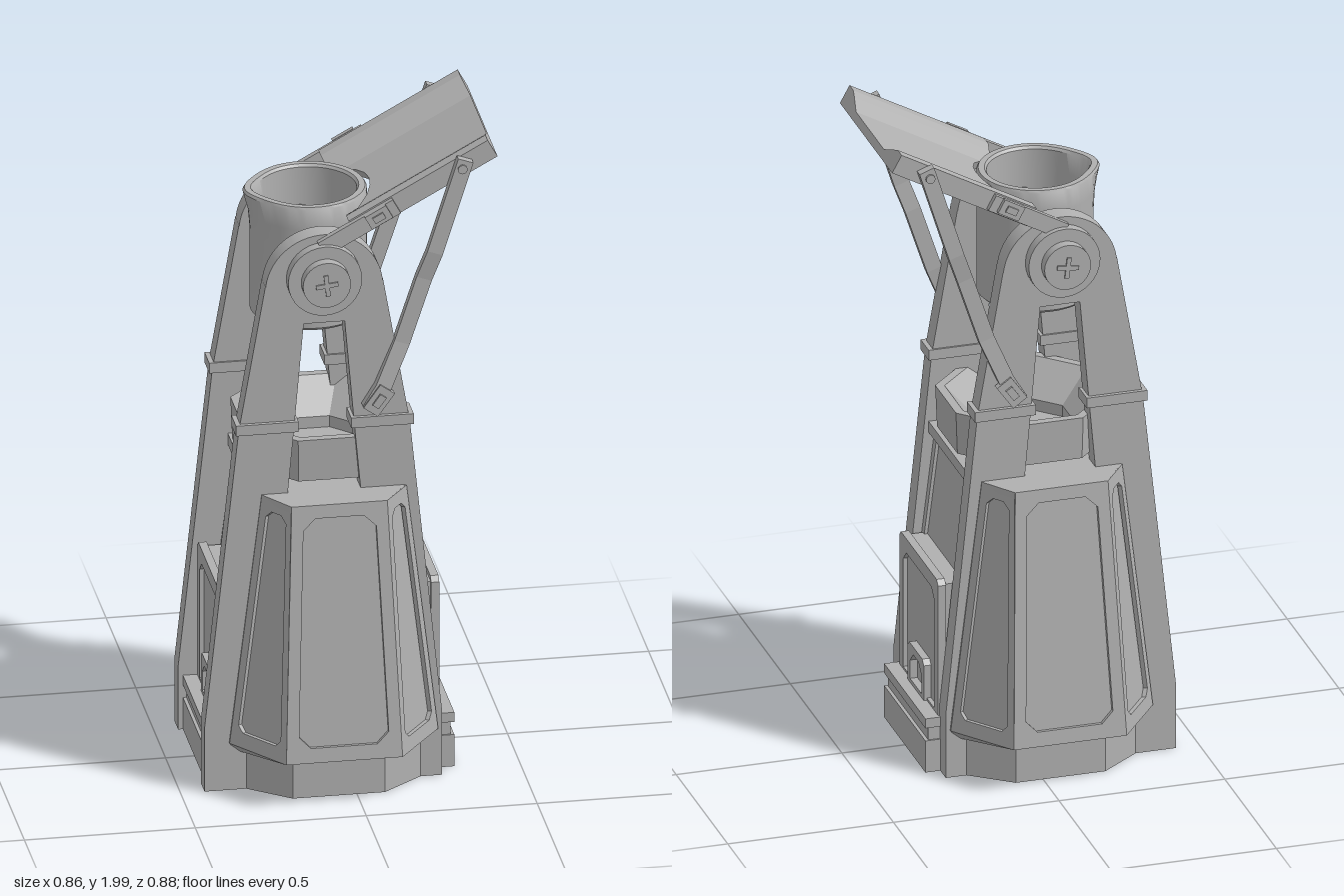
import * as THREE from 'three';
import { toCreasedNormals } from 'three/addons/utils/BufferGeometryUtils.js';

const V = (x, y, z) => new THREE.Vector3(x, y, z);
const BODY_X = -0.053, PIVOT_X = -0.083, FRAME_X = -0.08;

// Skin a stack of equal-length rings, with optional strip caps
function loft(rings, capStart = true, capEnd = true) {
  const pos = [], n = rings[0].length;
  const quad = (a, b, c, d) => [a, b, c, a, c, d].forEach(p => pos.push(p.x, p.y, p.z));
  for (let r = 0; r < rings.length - 1; r++) {
    const lo = rings[r], hi = rings[r + 1];
    for (let i = 0; i < n; i++) quad(lo[i], lo[(i + 1) % n], hi[(i + 1) % n], hi[i]);
  }
  for (let i = 0; i < n / 2 - 1; i++) {
    const s = rings[0], e = rings[rings.length - 1];
    if (capStart) quad(s[n - 1 - i], s[n - 2 - i], s[i + 1], s[i]);
    if (capEnd) quad(e[i], e[i + 1], e[n - 2 - i], e[n - 1 - i]);
  }
  const g = new THREE.BufferGeometry();
  g.setAttribute('position', new THREE.Float32BufferAttribute(pos, 3));
  g.computeVertexNormals();
  return g;
}

// Octagon ring: x reach a (half-width b in z), z reach c (half-width d in x)
const oct = (y, a, b, c, d, k = 1) =>
  [[a, b], [a, -b], [d, -c], [-d, -c], [-a, -b], [-a, b], [-d, c], [d, c]]
    .map(([x, z]) => V(BODY_X + x * k, y, z * k));

// Raised border with a chamfered opening, laid on a four-cornered face
function panelFrame(p0, p1, p3, p2, m, ch, depth) {
  const X = p1.clone().sub(p0).normalize();
  const N = X.clone().cross(p3.clone().sub(p0)).normalize();
  const Y = N.clone().cross(X);
  const flat = p => { const d = p.clone().sub(p0); return [d.dot(X), d.dot(Y)]; };
  const [w] = flat(p1), [xl, h] = flat(p3), [xr] = flat(p2);
  const at = (y, side, extra) => side < 0
    ? new THREE.Vector2(xl * y / h + m + extra, y)
    : new THREE.Vector2(w + (xr - w) * y / h - m - extra, y);
  const shape = new THREE.Shape([[0, 0], [w, 0], [xr, h], [xl, h]].map(q => new THREE.Vector2(...q)));
  const b = 0.045, t = h - 0.04;
  shape.holes.push(new THREE.Path([at(b, -1, ch), at(b + ch, -1, 0), at(t - ch, -1, 0), at(t, -1, ch),
    at(t, 1, ch), at(t - ch, 1, 0), at(b + ch, 1, 0), at(b, 1, ch)]));
  const g = new THREE.ExtrudeGeometry(shape, { depth, bevelEnabled: false });
  const o = p0.clone().addScaledVector(N, -depth);
  return g.applyMatrix4(new THREE.Matrix4().makeBasis(X, Y, N).setPosition(o));
}

export function createModel() {
  const root = new THREE.Group();
  root.name = 'tippingTower';
  const grey = new THREE.MeshStandardMaterial({ color: 0xb0b0b0, side: THREE.DoubleSide });
  grey.name = 'plain grey';
  const add = (name, geo, parent = root) => {
    const m = new THREE.Mesh(geo, grey);
    m.name = name;
    parent.add(m);
    return m;
  };
  // Box from its minimum and maximum corners
  const box = (name, x0, x1, y0, y1, z0, z1, parent) => {
    const g = new THREE.BoxGeometry(Math.abs(x1 - x0), y1 - y0, z1 - z0);
    g.translate((x0 + x1) / 2, (y0 + y1) / 2, (z0 + z1) / 2);
    return add(name, g, parent);
  };
  // Disc or pin lying along z
  const disc = (name, r, x, y, z0, z1, parent, sides = 32) => {
    const g = new THREE.CylinderGeometry(r, r, z1 - z0, sides).rotateX(Math.PI / 2);
    return add(name, g.translate(x, y, (z0 + z1) / 2), parent);
  };
  // Box turned about z
  const tilted = (name, w, h, d, x, y, z, angle, parent) => {
    const g = new THREE.BoxGeometry(w, h, d).rotateZ(angle);
    return add(name, g.translate(x, y, z), parent);
  };

  // Hollow plinth and tapering body
  const low = oct(0.15, 0.305, 0.26, 0.44, 0.17), high = oct(0.925, 0.21, 0.255, 0.355, 0.14);
  const foot = [0.285, 0.23, 0.345, 0.135];
  add('plinth', loft([oct(0, ...foot), oct(0.115, ...foot), low], false, false));
  add('body', loft([oct(0.15, 0.305, 0.26, 0.44, 0.17, 0.965),
    oct(0.915, 0.21, 0.255, 0.355, 0.14, 0.96)], false, true));
  add('roof', loft([oct(0.905, 0.21, 0.255, 0.355, 0.14), high]));
  for (let i = 0; i < 8; i++) {
    const j = (i + 1) % 8;
    const [m, ch] = i % 4 === 0 ? [0.09, 0.02] : i % 2 ? [0.025, 0.02] : [0.036, 0.035];
    add('panelFrame', panelFrame(low[i], low[j], high[i], high[j], m, ch, 0.013));
  }

  // Octagonal basin with a sloping inside
  const basin = (y, r) => oct(y, r, r * 0.42, r, r * 0.42);
  add('basin', loft([basin(0.92, 0.17), basin(0.945, 0.17), basin(0.95, 0.235), basin(1.08, 0.24),
    basin(1.08, 0.215), basin(0.985, 0.13), basin(0.95, 0.13)]));

  // Door, handle, step and ledge on both ends
  for (const s of [-1, 1]) {
    const end = new THREE.Group();
    end.name = s > 0 ? 'leftEnd' : 'rightEnd';
    root.add(end);
    const X = r => BODY_X + s * r;
    const rounded = (w, h, r) => [[-w, 0], [-w, h - r], [-w + r, h], [w - r, h], [w, h - r], [w, 0]]
      .map(q => new THREE.Vector2(...q));
    const arch = (name, w, h, iw, ih, d, x, y) => {
      const shape = new THREE.Shape(rounded(w, h, 0.015));
      shape.holes.push(new THREE.Path(rounded(iw, ih, 0.03).map(p => p.setY(Math.max(p.y, 0.012)))));
      const g = new THREE.ExtrudeGeometry(shape, { depth: d, bevelEnabled: false });
      add(name, g.rotateY(s * Math.PI / 2).translate(x, y, 0), end);
    };
    box('door', X(0.2), X(0.308), 0.16, 0.58, -0.18, 0.18, end);
    arch('doorFrame', 0.188, 0.43, 0.15, 0.385, 0.024, X(0.297), 0.165);
    arch('handle', 0.078, 0.125, 0.055, 0.1, 0.025, X(0.305), 0.17);
    box('stepBase', X(0.24), X(0.363), 0, 0.1, -0.2, 0.2, end);
    box('stepGroove', X(0.24), X(0.353), 0.1, 0.14, -0.195, 0.195, end);
    box('stepTread', X(0.24), X(0.363), 0.14, 0.17, -0.2, 0.2, end);
    box('ledge', X(0.18), X(0.232), 0.89, 0.925, -0.19, 0.19, end);
  }

  // A-shaped side frames, hubs and struts, mirrored across z
  const outline = new THREE.Shape();
  outline.moveTo(FRAME_X - 0.35, 0);
  [[-0.35, 0.2], [-0.25, 1.13], [-0.172, 1.58]].forEach(([x, y]) => outline.lineTo(FRAME_X + x, y));
  outline.absarc(FRAME_X, 1.56, 0.172, Math.PI * 0.97, Math.PI * 0.03, true);
  [[0.172, 1.58], [0.25, 1.13], [0.345, 0.2], [0.345, 0], [0.19, 0], [0.088, 1.13], [0.06, 1.455],
    [-0.06, 1.455], [-0.088, 1.13], [-0.19, 0]].forEach(([x, y]) => outline.lineTo(FRAME_X + x, y));
  const slope = Math.atan(0.55);
  for (const s of [1, -1]) {
    const side = new THREE.Group();
    side.name = s > 0 ? 'frontSide' : 'backSide';
    side.scale.z = s;
    root.add(side);
    const frame = new THREE.ExtrudeGeometry(outline, { depth: 0.062, bevelEnabled: false, curveSegments: 24 });
    add('legFrame', toCreasedNormals(frame.translate(0, 0, 0.191), 0.5), side);
    for (const d of [-1, 1])
      box('legCollar', FRAME_X + d * 0.077, FRAME_X + d * 0.26, 1.12, 1.152, 0.185, 0.265, side);

    // Pivot
    disc('axle', 0.038, PIVOT_X, 1.6, 0.15, 0.3, side, 24);
    disc('axleCollar', 0.055, PIVOT_X, 1.6, 0.13, 0.175, side, 24);
    disc('hubPlate', 0.108, PIVOT_X, 1.6, 0.25, 0.287, side);
    disc('hubCap', 0.07, PIVOT_X, 1.6, 0.287, 0.318, side);
    for (const a of [0.12, 0.12 + Math.PI / 2])
      tilted('hubCross', 0.065, 0.013, 0.006, PIVOT_X, 1.6, 0.32, a, side);

    // Chute bracket and bent strut
    tilted('chuteArm', 0.25, 0.05, 0.02, 0.02, 1.752, 0.26, slope, side);
    tilted('bracket', 0.07, 0.045, 0.016, 0.075, 1.787, 0.275, slope, side);
    tilted('bracketBolt', 0.035, 0.02, 0.008, 0.075, 1.787, 0.285, slope, side);
    const strut = [[0.05, 1.185, 0.268], [0.09, 1.25, 0.268], [0.145, 1.38, 0.255],
      [0.21, 1.577, 0.255], [0.24, 1.66, 0.266], [0.33, 1.945, 0.266]];
    add('strut', loft(strut.map(([x, y, z]) => [[1, 1], [1, -1], [-1, -1], [-1, 1]]
      .map(([i, k]) => V(x + i * 0.022, y - i * 0.008, z + k * 0.013)))), side);
    tilted('strutFoot', 0.085, 0.052, 0.022, 0.075, 1.21, 0.276, 0.95, side);
    tilted('strutBolt', 0.04, 0.022, 0.008, 0.075, 1.21, 0.29, 0.95, side);
    disc('strutPin', 0.014, 0.32, 1.92, 0.24, 0.285, side, 12);
  }

  // Trough-shaped chute, cut round where it meets the bucket
  const zs = [-0.253, -0.215, -0.19, -0.165, -0.135, -0.09, -0.045, 0];
  zs.push(...zs.slice(0, -1).reverse().map(z => -z));
  const height = z => THREE.MathUtils.clamp(0.025 + (Math.abs(z) - 0.135) * 0.45, 0.025, 0.06);
  const start = z => Math.abs(z) > 0.185 ? 0.02 : Math.max(0.02, PIVOT_X + Math.sqrt(0.19 ** 2 - z * z));
  const chutePoint = (x, h, z) =>
    V(x - h * Math.sin(slope), 1.706 + 0.55 * x + h * Math.cos(slope), z);
  const chuteRing = xOf => [...[...zs].reverse().map(z => chutePoint(xOf(z), 0, z)),
    ...zs.map(z => chutePoint(xOf(z), height(z), z))];
  add('chute', loft([chuteRing(start), chuteRing(() => 0.427)]));

  // Tipping bucket with a pouring lip towards -x
  const profile = [[0, 1.39], [0.158, 1.39], [0.169, 1.4], [0.169, 1.65], [0.169, 1.71], [0.169, 1.772],
    [0.164, 1.78], [0.146, 1.78], [0.14, 1.772], [0.14, 1.71], [0.14, 1.65], [0.14, 1.43], [0, 1.43]];
  const bucket = new THREE.LatheGeometry(profile.map(p => new THREE.Vector2(...p)), 64);
  const p = bucket.attributes.position;
  for (let i = 0; i < p.count; i++) {
    const x = p.getX(i), r = Math.hypot(x, p.getZ(i));
    const lift = THREE.MathUtils.clamp((p.getY(i) - 1.65) / 0.12, 0, 1);
    if (r > 0 && x < 0) p.setX(i, x - 0.022 * lift * lift * (-x / r) ** 10);
  }
  bucket.translate(PIVOT_X, 0, 0);
  add('bucket', toCreasedNormals(bucket, 0.6));

  return root;
}
